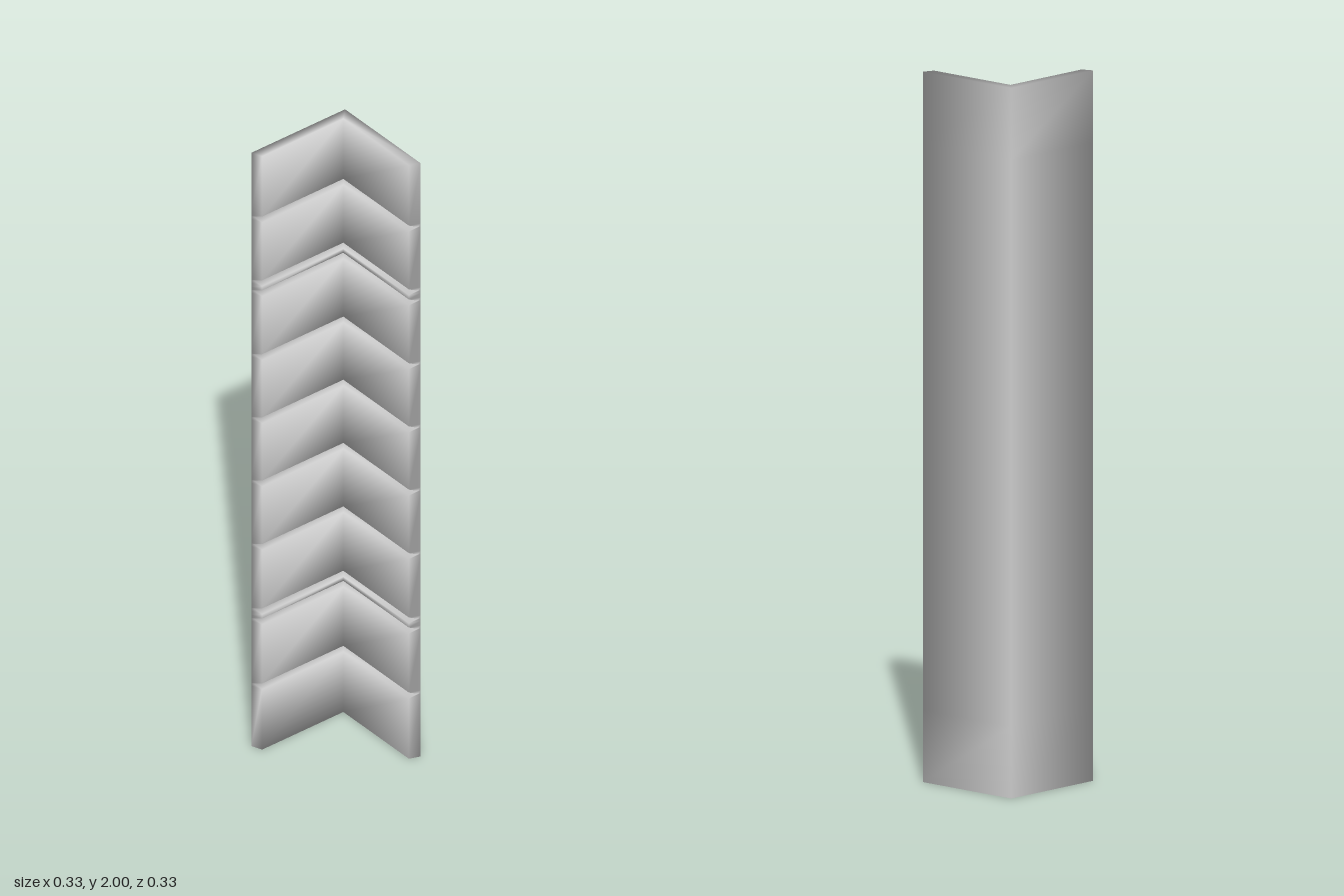
import * as THREE from 'three';

const OUT = -0.167, IN = -0.135, GROOVE = 0.024, HALF = 0.01;

// L-shaped outline at one height; depth recesses the inner faces
function outline(depth) {
  const i = IN - depth;
  const end = 0.153 + 0.012 * depth / (IN - OUT); // slanted leg ends
  return [[0.165, OUT], [OUT, OUT], [OUT, 0.165], [i, end], [i, i], [end, i]];
}

export function createModel() {
  const group = new THREE.Group();

  // heights of the V-grooves between the planks
  const grooves = [0.213, 0.432, 0.466, 0.683, 0.897, 1.11, 1.323, 1.538, 1.572, 1.787];
  const levels = [[0, 0]];
  for (const y of grooves) levels.push([y - HALF, 0], [y, GROOVE], [y + HALF, 0]);
  levels.push([2, 0]);

  const positions = [], index = [];
  for (const [y, depth] of levels) {
    for (const [x, z] of outline(depth)) positions.push(x, y, z);
  }
  // walls between successive outlines
  for (let l = 0; l < levels.length - 1; l++) {
    for (let k = 0; k < 6; k++) {
      const a = l * 6 + k, b = l * 6 + (k + 1) % 6;
      index.push(a, b, b + 6, a, b + 6, a + 6);
    }
  }
  // bottom and top caps, one quad per leg
  const t = (levels.length - 1) * 6;
  for (const [a, b, c, d] of [[0, 1, 4, 5], [1, 2, 3, 4]]) {
    index.push(a, c, b, a, d, c);
    index.push(t + a, t + b, t + c, t + a, t + c, t + d);
  }

  // soft normals: every adjoining face counts equally
  const point = (i) => new THREE.Vector3().fromArray(positions, i * 3);
  const normals = Array.from({ length: positions.length / 3 }, () => new THREE.Vector3());
  for (let i = 0; i < index.length; i += 3) {
    const [a, b, c] = index.slice(i, i + 3).map(point);
    const n = b.sub(a).cross(c.sub(a)).normalize();
    for (let j = 0; j < 3; j++) normals[index[i + j]].add(n);
  }
  normals.forEach((n, i) => {
    if (i % 6 < 3) n.y = 0; // the plain back shades evenly over its height
    n.normalize();
  });

  const geometry = new THREE.BufferGeometry();
  geometry.setAttribute('position', new THREE.Float32BufferAttribute(positions, 3));
  geometry.setAttribute('normal', new THREE.Float32BufferAttribute(normals.flatMap((n) => n.toArray()), 3));
  geometry.setIndex(index);

  const panel = new THREE.Mesh(geometry, new THREE.MeshStandardMaterial({ color: 0xcccccc }));
  panel.name = 'groovedCornerPanel';
  group.add(panel);
  return group;
}
